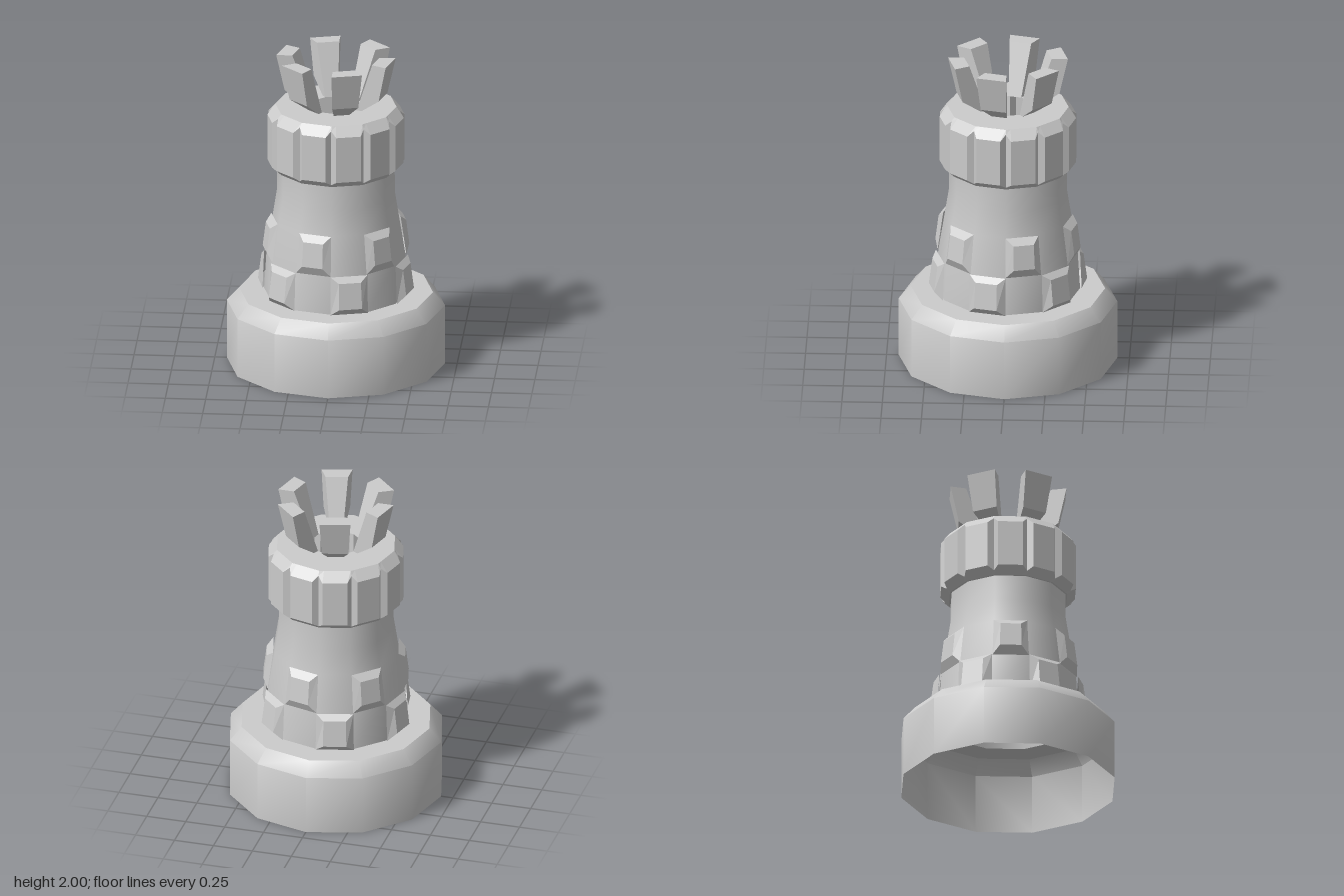
import * as THREE from 'three';
import { toCreasedNormals } from 'three/addons/utils/BufferGeometryUtils.js';

const SIDES = 12;
const STEP = 360 / SIDES;

// point at an angle (degrees, counter-clockwise seen from above), radius and height
const polar = (deg, r, y) => {
  const a = THREE.MathUtils.degToRad(deg);
  return new THREE.Vector3(r * Math.cos(a), y, -r * Math.sin(a));
};

// joins rows of points (bottom to top) with quads
function loft(rows, closed) {
  const pos = [];
  const n = rows[0].length;
  for (let j = 0; j < rows.length - 1; j++) {
    for (let i = 0; i < (closed ? n : n - 1); i++) {
      const k = (i + 1) % n;
      const a = rows[j][i], b = rows[j][k], c = rows[j + 1][k], d = rows[j + 1][i];
      for (const p of [a, b, c, a, c, d]) pos.push(p.x, p.y, p.z);
    }
  }
  const g = new THREE.BufferGeometry();
  g.setAttribute('position', new THREE.Float32BufferAttribute(pos, 3));
  g.computeVertexNormals();
  return g;
}

const ring = (r, y) => Array.from({ length: SIDES }, (_, i) => polar(i * STEP, r, y));

export function createModel() {
  const model = new THREE.Group();
  const smooth = new THREE.MeshStandardMaterial({ color: 0xcccccc, side: THREE.DoubleSide });
  const flat = new THREE.MeshStandardMaterial({ color: 0xcccccc, side: THREE.DoubleSide, flatShading: true });

  const add = (name, geometry, material, parent = model) => {
    const mesh = new THREE.Mesh(geometry, material);
    mesh.name = name;
    parent.add(mesh);
  };
  const group = (name) => {
    const g = new THREE.Group();
    g.name = name;
    model.add(g);
    return g;
  };
  const turned = (profile) =>
    toCreasedNormals(loft(profile.map(([r, y]) => ring(r, y)), true), 0.75);

  // hollow base, open underneath, with a bevelled rim
  add('base', turned([[0.675, 0], [0.675, 0.38], [0.6, 0.465], [0.445, 0.465]]), smooth);

  // tapering tower shaft
  add('shaft', turned([[0.445, 0.465], [0.43, 0.71], [0.39, 0.96], [0.365, 1.12],
    [0.363, 1.28], [0.375, 1.28]]), smooth);

  // raised stones: two staggered courses on alternate sides
  const courses = [
    { start: 30, y: [0.465, 0.51, 0.675, 0.71], r: [0.455, 0.49, 0.468, 0.445] },
    { start: 0, y: [0.71, 0.765, 0.92, 0.96], r: [0.435, 0.453, 0.433, 0.4] },
  ];
  courses.forEach(({ start, y, r }, c) => {
    const stones = group(c === 0 ? 'lowerStones' : 'upperStones');
    for (let k = 0; k < 6; k++) {
      const a = start + k * 60;
      const inset = 6.5;
      const lowL = polar(a, r[0], y[0]), lowR = polar(a + STEP, r[0], y[0]);
      const topL = polar(a, r[3], y[3]), topR = polar(a + STEP, r[3], y[3]);
      const row = (i) => [i === 1 ? lowL : topL, polar(a + inset, r[i], y[i]),
        polar(a + STEP - inset, r[i], y[i]), i === 1 ? lowR : topR];
      add('stone', loft([[lowL, lowL, lowR, lowR], row(1), row(2), [topL, topL, topR, topR]]), flat, stones);
    }
  });

  // collar: flat panels separated by V grooves at the corners, with a flat top round the opening
  const collarRow = (panelR, panelY, grooveR, grooveY) => {
    const pts = [];
    for (let i = 0; i < SIDES; i++) {
      const a = i * STEP;
      pts.push(polar(a - 4.5, panelR, panelY), polar(a, grooveR, grooveY), polar(a + 4.5, panelR, panelY));
    }
    return pts;
  };
  const edge = Math.cos(Math.PI / 12) / Math.cos(THREE.MathUtils.degToRad(10.5));
  const plain = (r, y) => collarRow(r * edge, y, r, y);
  add('collar', loft([plain(0.375, 1.28), collarRow(0.423, 1.325, 0.395, 1.3),
    collarRow(0.423, 1.62, 0.395, 1.655), plain(0.375, 1.68), plain(0.155, 1.68)], true), flat);

  // battlements flaring outwards
  const battlements = group('battlements');
  const section = [[0.155, 1.68], [0.19, 1.68], [0.318, 1.77], [0.37, 2], [0.27, 2], [0.155, 1.68]];
  const middle = [0.215, 1.77];
  for (let k = 0; k < 6; k++) {
    const a = 30 + k * 60;
    const left = polar(a, ...middle), right = polar(a + STEP, ...middle);
    const rows = section.map(([r, y]) => [left, polar(a, r, y), polar(a + STEP, r, y), right]);
    add('battlement', loft(rows), flat, battlements);
  }

  return model;
}
